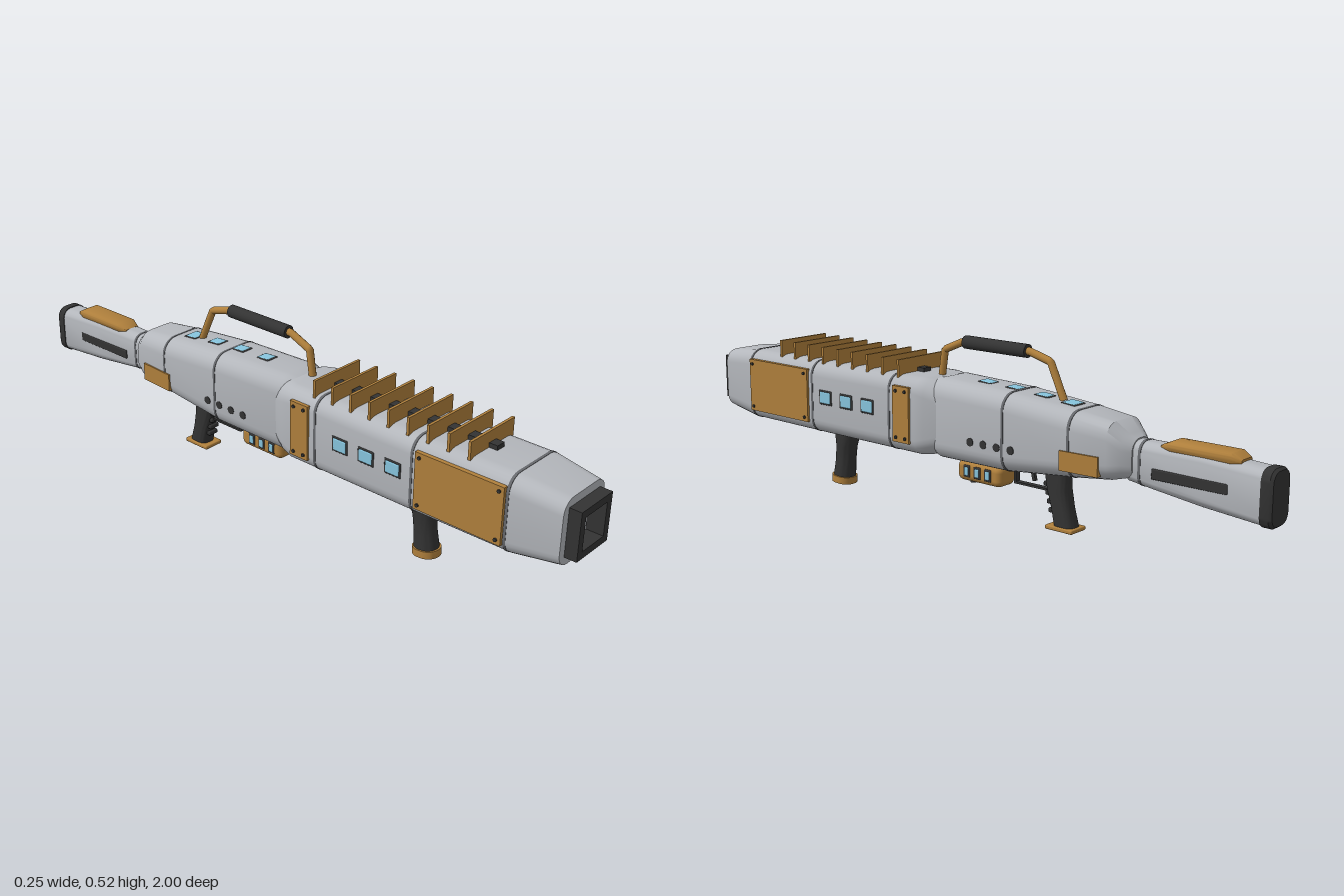
import * as THREE from 'three';
import { toCreasedNormals } from 'three/addons/utils/BufferGeometryUtils.js';
import { RoundedBoxGeometry } from 'three/addons/geometries/RoundedBoxGeometry.js';

const mat = (color) => new THREE.MeshStandardMaterial({ color });
const GREY = mat(0xb4b7bc), ORANGE = mat(0xb0803c), DARK = mat(0x333333), BLUE = mat(0x87c5de), SEAM = mat(0x66686c);

// Loft through rounded rectangles [z, halfWidth, yLow, yHigh, cornerRadius]
function loft(sections, crease = 0.6) {
  const pos = [], idx = [], K = 6, N = 4 * (K + 1);
  for (const [z, w, y0, y1, rr] of sections) {
    const r = Math.min(rr, w * 0.98, (y1 - y0) * 0.49);
    for (let c = 0; c < 4; c++) {
      const cx = c === 0 || c === 3 ? w - r : r - w;
      const cy = c < 2 ? y1 - r : y0 + r;
      for (let k = 0; k <= K; k++) {
        const a = (c + k / K) * Math.PI / 2;
        pos.push(cx + r * Math.cos(a), cy + r * Math.sin(a), z);
      }
    }
  }
  const last = sections.length - 1;
  for (let i = 0; i < last; i++) {
    for (let j = 0; j < N; j++) {
      const a = i * N + j, b = i * N + (j + 1) % N, c = b + N, d = a + N;
      idx.push(a, d, b, b, d, c);
    }
  }
  for (const i of [0, last]) {
    const centre = pos.length / 3, [z, , y0, y1] = sections[i];
    pos.push(0, (y0 + y1) / 2, z);
    for (let j = 0; j < N; j++) {
      const a = i * N + j, b = i * N + (j + 1) % N;
      if (i === 0) idx.push(centre, a, b); else idx.push(centre, b, a);
    }
  }
  const g = new THREE.BufferGeometry();
  g.setAttribute('position', new THREE.Float32BufferAttribute(pos, 3));
  g.setIndex(idx);
  return toCreasedNormals(g, crease);
}

// Section interpolated at z along a loft running from +z to -z
function sectionAt(sections, z) {
  let i = 0;
  while (i < sections.length - 2 && sections[i + 1][0] > z) i++;
  const a = sections[i], b = sections[i + 1], t = (z - a[0]) / (b[0] - a[0]);
  return a.map((v, k) => v + (b[k] - v) * t);
}

export function createModel() {
  const model = new THREE.Group();
  const add = (name, geo, material, x = 0, y = 0, z = 0) => {
    const m = new THREE.Mesh(geo, material);
    m.name = name;
    m.position.set(x, y, z);
    model.add(m);
    return m;
  };
  const box = (w, h, d) => new THREE.BoxGeometry(w, h, d);
  const rbox = (w, h, d, r) => new RoundedBoxGeometry(w, h, d, 3, r);
  const seam = (sections, z) => {
    const ring = (dz) => {
      const [, w, y0, y1, r] = sectionAt(sections, z + dz);
      return [z + dz, w + 0.001, y0 - 0.001, y1 + 0.001, r];
    };
    add('panelSeam', loft([ring(0.004), ring(-0.004)]), SEAM);
  };

  // Main barrel housing, with a square recess at the front
  const barrel = [
    [0.965, 0.092, 0.195, 0.383, 0.04], [0.83, 0.11, 0.178, 0.4, 0.045],
    [0.5, 0.112, 0.176, 0.4, 0.045], [0.1, 0.112, 0.175, 0.402, 0.045],
    [0.07, 0.106, 0.178, 0.4, 0.05], [0.03, 0.088, 0.19, 0.385, 0.05]];
  add('barrelHousing', loft([[0.9, 0.06, 0.23, 0.35, 0.002], [0.965, 0.06, 0.23, 0.35, 0.002], ...barrel]), GREY);
  [0.82, 0.53, 0.2].forEach((z) => seam(barrel, z));

  // Rear receiver
  const receiver = [
    [0.07, 0.08, 0.18, 0.4, 0.05], [0.04, 0.09, 0.172, 0.406, 0.05],
    [-0.2, 0.092, 0.174, 0.398, 0.05], [-0.42, 0.088, 0.195, 0.38, 0.05],
    [-0.545, 0.08, 0.21, 0.365, 0.045], [-0.58, 0.062, 0.218, 0.335, 0.04], [-0.6, 0.042, 0.22, 0.325, 0.035]];
  add('receiver', loft(receiver), GREY);
  [-0.21, -0.43].forEach((z) => seam(receiver, z));

  // Stock, butt pad, cheek rest and side slots
  const stock = [[-0.58, 0.037, 0.208, 0.322, 0.03], [-0.66, 0.039, 0.198, 0.322, 0.03],
    [-0.8, 0.042, 0.182, 0.322, 0.03], [-0.975, 0.043, 0.168, 0.312, 0.03]];
  add('stock', loft(stock), GREY);
  seam(stock, -0.62);
  add('buttPad', loft([[-0.968, 0.045, 0.165, 0.315, 0.032], [-0.992, 0.045, 0.165, 0.315, 0.032],
    [-1, 0.04, 0.171, 0.309, 0.028]]), DARK);
  add('cheekRest', loft([[-0.675, 0.025, 0.312, 0.322, 0.008], [-0.705, 0.036, 0.308, 0.336, 0.012],
    [-0.88, 0.036, 0.306, 0.336, 0.012], [-0.905, 0.025, 0.31, 0.322, 0.008]]), ORANGE);

  // Square muzzle frame and lens
  const frame = new THREE.Shape([[-1, -1], [1, -1], [1, 1], [-1, 1]].map(([x, y]) => new THREE.Vector2(x * 0.069, y * 0.069)));
  frame.holes.push(new THREE.Path([[-1, -1], [-1, 1], [1, 1], [1, -1]].map(([x, y]) => new THREE.Vector2(x * 0.048, y * 0.048))));
  add('muzzleFrame', new THREE.ExtrudeGeometry(frame, { depth: 0.05, bevelEnabled: false }), DARK, 0, 0.29, 0.95);
  add('lens', box(0.118, 0.118, 0.01), BLUE, 0, 0.29, 0.902);

  // Top rail and cooling fins
  add('topRail', box(0.03, 0.02, 0.57), DARK, 0, 0.403, 0.435);
  for (let i = 0; i < 9; i++) add('coolingFin', box(0.186, 0.052, 0.008), ORANGE, 0, 0.419, 0.18 + i * 0.0638);

  // Carrying handle
  const strut = (pts) => {
    const path = new THREE.CurvePath();
    for (let i = 0; i < pts.length - 1; i++) {
      path.add(new THREE.LineCurve3(...[pts[i], pts[i + 1]].map(([y, z]) => new THREE.Vector3(0, y, z))));
    }
    add('handleStrut', new THREE.TubeGeometry(path, 32, 0.011, 10), ORANGE);
  };
  strut([[0.395, 0.092], [0.475, 0.08], [0.505, 0.01], [0.505, -0.03]]);
  strut([[0.385, -0.35], [0.485, -0.303], [0.505, -0.23], [0.505, -0.2]]);
  add('handleGrip', new THREE.CylinderGeometry(0.019, 0.019, 0.225, 20).rotateX(Math.PI / 2), DARK, 0, 0.505, -0.112);

  // Windows along the top of the receiver
  [-0.38, -0.285, -0.185, -0.085].forEach((z, i) => {
    const y = sectionAt(receiver, z)[3], w = i ? 0.036 : 0.046;
    add('topWindowFrame', rbox(w + 0.008, 0.012, 0.05, 0.005), DARK, 0, y - 0.004, z).rotation.x = -0.07;
    add('topWindow', rbox(w, 0.012, 0.042, 0.005), BLUE, 0, y - 0.002, z).rotation.x = -0.07;
  });

  // Parts mirrored on both sides
  for (const s of [-1, 1]) {
    const plate = (name, x, y, z, h, d) => {
      add(name, box(0.016, h, d), ORANGE, s * x, y, z);
      for (const a of [-1, 1]) for (const b of [-1, 1]) {
        add('plateScrew', new THREE.CylinderGeometry(0.005, 0.005, 0.006, 10).rotateZ(Math.PI / 2), DARK,
          s * (x + 0.009), y + a * (h / 2 - 0.014), z + b * (d / 2 - 0.014));
      }
    };
    plate('frontSidePlate', 0.111, 0.292, 0.68, 0.165, 0.27);
    plate('middleSidePlate', 0.111, 0.292, 0.147, 0.165, 0.064);
    add('rearSidePlate', box(0.016, 0.054, 0.12), ORANGE, s * 0.082, 0.248, -0.465).rotation.y = s * 0.06;
    for (const z of [0.47, 0.38, 0.29]) {
      add('sideWindowFrame', rbox(0.01, 0.046, 0.056, 0.004), DARK, s * 0.109, 0.295, z);
      add('sideWindow', rbox(0.01, 0.036, 0.046, 0.004), BLUE, s * 0.111, 0.295, z);
    }
    for (const z of [-0.095, -0.143, -0.191, -0.24]) {
      add('ventHole', new THREE.CylinderGeometry(0.012, 0.012, 0.01, 16).rotateZ(Math.PI / 2), DARK, s * 0.088, 0.246, z);
    }
    add('stockSlot', rbox(0.008, 0.028, 0.22, 0.0035), DARK, s * 0.04, 0.247, -0.77);
    for (const z of [-0.035, -0.074, -0.113]) {
      add('sensorWindowFrame', rbox(0.01, 0.036, 0.026, 0.004), DARK, s * 0.034, 0.141, z);
      add('sensorWindow', rbox(0.01, 0.026, 0.016, 0.004), BLUE, s * 0.036, 0.141, z);
    }
  }

  // Sensor box under the receiver
  add('sensorBox', rbox(0.074, 0.06, 0.162, 0.018), ORANGE, 0, 0.14, -0.077);
  add('sensorMount', box(0.05, 0.03, 0.13), DARK, 0, 0.172, -0.077);
  add('sensorKnob', new THREE.CylinderGeometry(0.01, 0.01, 0.012, 12), DARK, 0, 0.107, -0.03);

  // Upright loft from rows [y, halfWidth, zFront, zBack, radius], top to bottom
  const upright = (name, rows, material) =>
    add(name, loft(rows.map(([y, w, zf, zb, r]) => [y, w, -zf, -zb, r])).rotateX(-Math.PI / 2), material);

  // Front grip
  upright('frontGrip', [[0.185, 0.031, 0.532, 0.458, 0.025], [0.15, 0.033, 0.532, 0.458, 0.028],
    [0.12, 0.03, 0.532, 0.466, 0.028], [0.07, 0.029, 0.538, 0.472, 0.028], [0.015, 0.032, 0.548, 0.476, 0.03]], DARK);
  upright('frontGripCollar', [[0.185, 0.033, 0.54, 0.45, 0.02], [0.172, 0.033, 0.54, 0.45, 0.02]], ORANGE);
  add('frontGripBase', loft([[0.012, 0.036, -0.04, 0.04, 0.034], [-0.01, 0.036, -0.04, 0.04, 0.034]])
    .rotateX(-Math.PI / 2 - 0.08), ORANGE, 0, 0.0145, 0.512);

  // Rear grip with finger ridges
  upright('rearGrip', [[0.195, 0.026, -0.295, -0.372, 0.022], [0.14, 0.027, -0.306, -0.375, 0.022],
    [0.09, 0.026, -0.32, -0.385, 0.022], [0.035, 0.027, -0.333, -0.4, 0.022]], DARK);
  for (let i = 0; i < 4; i++) add('fingerRidge', rbox(0.034, 0.014, 0.016, 0.004), DARK, 0, 0.15 - i * 0.024, -0.304 - i * 0.006);
  add('rearGripBase', rbox(0.066, 0.012, 0.092, 0.004), ORANGE, 0, 0.034, -0.361);

  // Trigger and guard
  add('triggerGuardBar', box(0.018, 0.006, 0.118), DARK, 0, 0.131, -0.248);
  add('triggerGuardPost', box(0.018, 0.055, 0.006), DARK, 0, 0.156, -0.19);
  add('trigger', box(0.01, 0.036, 0.01), DARK, 0, 0.163, -0.25).rotation.x = 0.25;

  return model;
}
